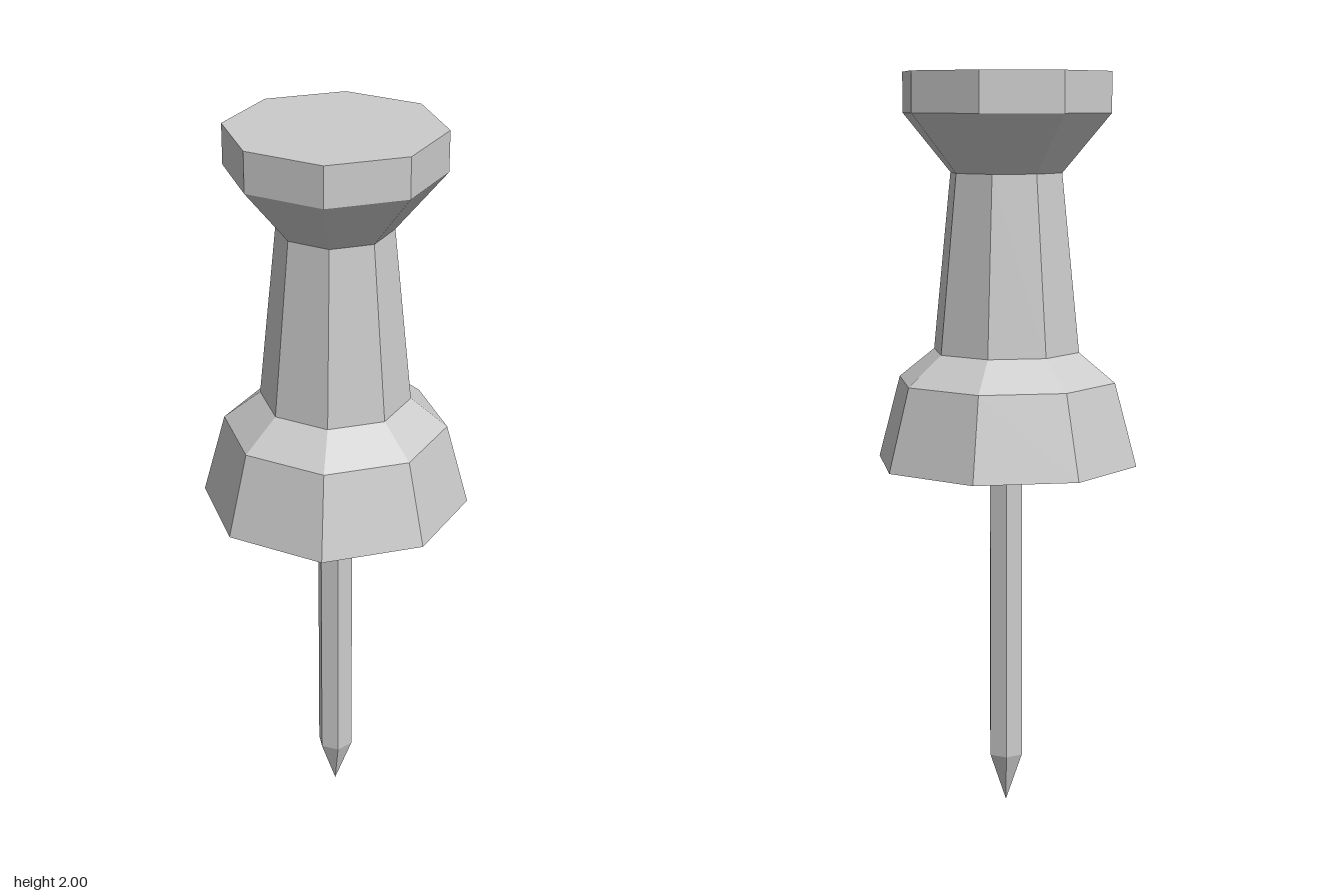
import * as THREE from 'three';

const material = new THREE.MeshStandardMaterial({ color: 0xcccccc, flatShading: true });

// Faceted solid turned from a [radius, height] profile, listed bottom to top
function turned(name, profile, sides, startAngle) {
  const points = profile.map(([r, y]) => new THREE.Vector2(r, y));
  const geometry = new THREE.LatheGeometry(points, sides, startAngle).toNonIndexed();
  geometry.computeVertexNormals();
  const mesh = new THREE.Mesh(geometry, material);
  mesh.name = name;
  return mesh;
}

export function createModel() {
  const group = new THREE.Group();
  group.name = 'pushPin';

  // Eight-sided grip: flared collar, tapering waist and wide cap
  group.add(turned('handle', [
    [0, 0.963], [0.358, 0.963], [0.298, 1.186], [0.2, 1.265],
    [0.152, 1.738], [0.283, 1.893], [0.283, 2], [0, 2],
  ], 8, 0));

  // Six-sided needle with a pointed tip
  group.add(turned('needle', [
    [0, 0], [0.05, 0.138], [0.05, 0.97], [0, 0.97],
  ], 6, Math.PI / 2));

  return group;
}
